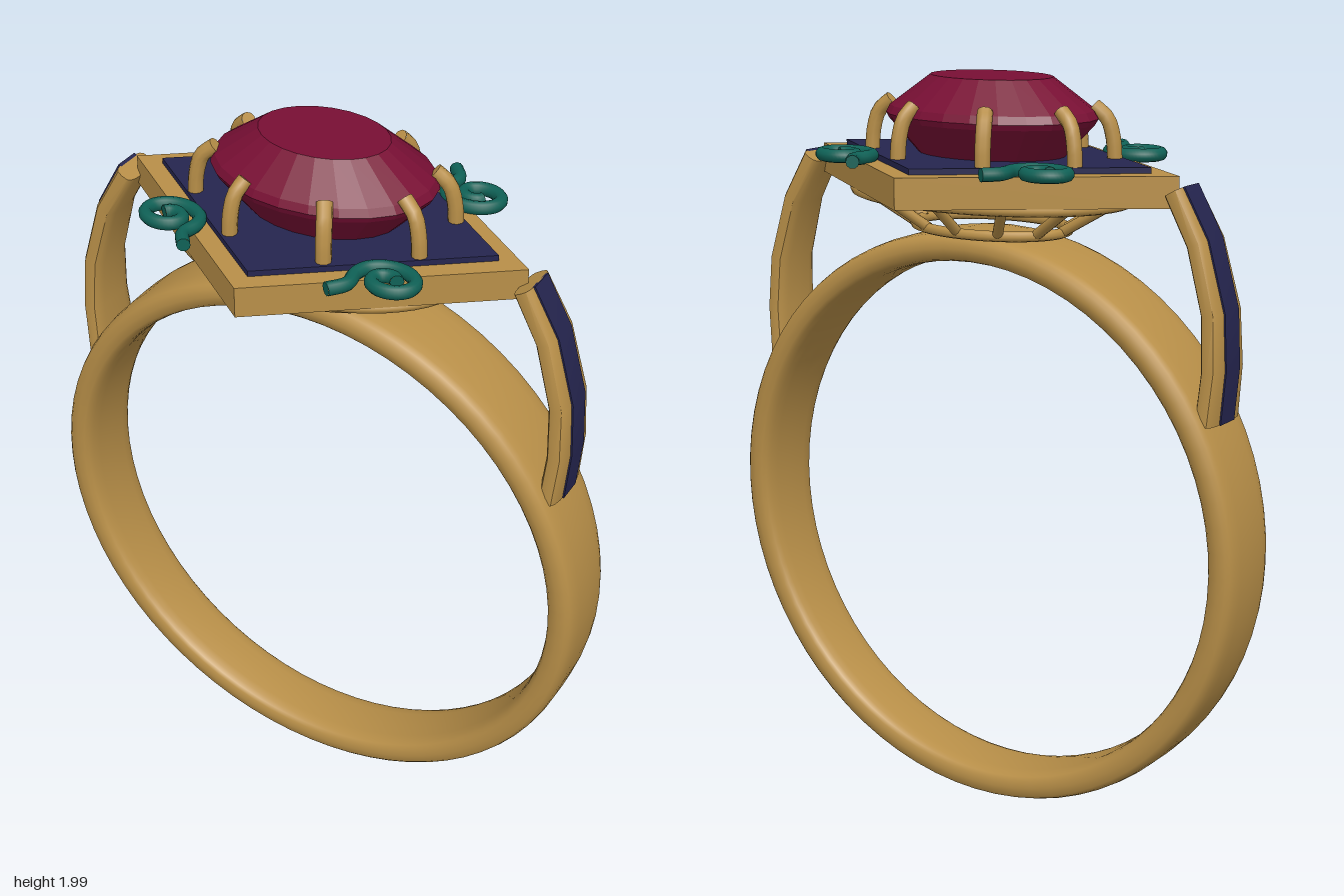
import * as THREE from 'three';
import { mergeGeometries, toCreasedNormals } from 'three/addons/utils/BufferGeometryUtils.js';

const material = (name, color) => {
  const m = new THREE.MeshStandardMaterial({ color });
  m.name = name;
  return m;
};
const V = (x, y, z) => new THREE.Vector3(x, y, z);

// Skin over a row of cross-section loops, either closed into a ring or capped at both ends
function loft(rings, closed, crease) {
  const n = rings[0].length, rows = rings.length, index = [];
  for (let i = 0; i < (closed ? rows : rows - 1); i++) {
    const k = (i + 1) % rows;
    for (let j = 0; j < n; j++) {
      const l = (j + 1) % n;
      index.push(i * n + j, k * n + j, i * n + l, k * n + j, k * n + l, i * n + l);
    }
  }
  if (!closed) {
    const e = (rows - 1) * n;
    for (let j = 1; j < n - 1; j++) index.push(0, j, j + 1, e, e + j + 1, e + j);
  }
  const g = new THREE.BufferGeometry().setFromPoints(rings.flat());
  g.setIndex(index);
  return toCreasedNormals(g, crease);
}

// Rounded-rectangle section as [radial, sideways] offsets
function roundedSection(a, b, power, n) {
  return Array.from({ length: n }, (_, j) => {
    const t = (j / n) * Math.PI * 2, c = Math.cos(t), s = Math.sin(t);
    return [a * Math.sign(c) * Math.abs(c) ** power, b * Math.sign(s) * Math.abs(s) ** power];
  });
}

// Round wire along points, with flat end caps
function wire(points, radius, segments) {
  const curve = new THREE.CatmullRomCurve3(points);
  const parts = [new THREE.TubeGeometry(curve, segments, radius, 10)];
  for (const t of [0, 1]) {
    const dir = curve.getTangent(t).multiplyScalar(t ? 1 : -1);
    const cap = new THREE.CircleGeometry(radius, 10);
    cap.applyQuaternion(new THREE.Quaternion().setFromUnitVectors(V(0, 0, 1), dir));
    const p = curve.getPoint(t);
    parts.push(cap.translate(p.x, p.y, p.z));
  }
  return mergeGeometries(parts);
}

// Flat diamond-shaped slab
function diamond(halfX, halfZ, y0, y1) {
  const s = new THREE.Shape();
  s.moveTo(halfX, 0);
  s.lineTo(0, halfZ);
  s.lineTo(-halfX, 0);
  s.lineTo(0, -halfZ);
  const g = new THREE.ExtrudeGeometry(s, { depth: y1 - y0, bevelEnabled: false });
  return g.rotateX(-Math.PI / 2).translate(0, y0, 0);
}

// Horizontal oval wire ring
function ovalRing(rx, rz, y, radius) {
  const points = Array.from({ length: 40 }, (_, i) => {
    const a = -(i / 40) * Math.PI * 2;
    return V(rx * Math.cos(a), y, rz * Math.sin(a));
  });
  return new THREE.TubeGeometry(new THREE.CatmullRomCurve3(points, true), 64, radius, 8, true);
}

export function createModel() {
  const model = new THREE.Group();
  model.name = 'gemRing';
  const gold = material('gold', 0xb88f48);
  const enamel = material('blue enamel', 0x25254f);
  const ruby = material('ruby', 0x780f34);
  const teal = material('teal', 0x0f6156);
  const add = (name, geometry, mat, parent = model) => {
    const mesh = new THREE.Mesh(geometry, mat);
    mesh.name = name;
    parent.add(mesh);
    return mesh;
  };

  // Finger band, widening towards the top
  const bandRings = Array.from({ length: 72 }, (_, i) => {
    const t = (i / 72) * Math.PI * 2, c = Math.cos(t), s = Math.sin(t);
    return roundedSection(0.041, 0.109 + 0.017 * s, 0.55, 20)
      .map(([r, z]) => V((0.756 + r) * c, 0.806 + (0.756 + r) * s, z));
  });
  add('band', loft(bandRings, true, 0.9), gold);

  // Shoulders with enamel inlay on the outer face
  const path = [[0.683, 1.185], [0.694, 1.32], [0.686, 1.46], [0.637, 1.63], [0.567, 1.752]];
  const alongShoulder = (section) => path.map(([x, y], i) => {
    const p = path[Math.max(i - 1, 0)], q = path[Math.min(i + 1, path.length - 1)];
    const length = Math.hypot(q[0] - p[0], q[1] - p[1]);
    const nx = (q[1] - p[1]) / length, ny = -(q[0] - p[0]) / length;
    return section(i / (path.length - 1)).map(([r, z]) => V(x + nx * r, y + ny * r, z));
  });
  const armGeometry = loft(alongShoulder((t) => roundedSection(0.028, 0.088 - 0.027 * t, 0.6, 16)), false, 0.7);
  const inlayGeometry = loft(alongShoulder(() =>
    [[0.031, -0.036], [0.031, 0.036], [0.022, 0.036], [0.022, -0.036]]), false, 0.5);
  for (const side of ['left', 'right']) {
    const shoulder = new THREE.Group();
    shoulder.name = side + 'Shoulder';
    if (side === 'right') shoulder.rotation.y = Math.PI;
    add('shoulderArm', armGeometry, gold, shoulder);
    add('shoulderInlay', inlayGeometry, enamel, shoulder);
    model.add(shoulder);
  }

  // Diamond-shaped head plate
  add('headPlate', diamond(0.56, 0.42, 1.705, 1.785), gold);
  add('enamelPlate', diamond(0.48, 0.36, 1.785, 1.8), enamel);

  // Openwork basket under the plate
  const basket = new THREE.Group();
  basket.name = 'basket';
  model.add(basket);
  add('upperBasketRing', ovalRing(0.395, 0.275, 1.698, 0.015), gold, basket);
  add('lowerBasketRing', ovalRing(0.22, 0.155, 1.61, 0.014), gold, basket);
  for (let i = 0; i < 12; i++) {
    const a = (i / 12) * Math.PI * 2, c = Math.cos(a), s = Math.sin(a);
    add('basketSpoke', wire([V(0.215 * c, 1.61, 0.15 * s), V(0.38 * c, 1.705, 0.265 * s)], 0.014, 1), gold, basket);
  }

  // Faceted oval gem
  const profile = [[0, 1.795], [0.68, 1.795], [0.97, 1.885], [1, 1.9], [0.96, 1.92], [0.575, 2], [0, 2]];
  const gem = new THREE.LatheGeometry(profile.map(([r, y]) => new THREE.Vector2(r, y)), 24)
    .scale(0.3, 1, 0.218).toNonIndexed();
  gem.computeVertexNormals();
  add('gem', gem, ruby);

  // Eight claws curling over the gem
  for (let i = 0; i < 8; i++) {
    const a = ((i + 0.5) / 8) * Math.PI * 2, c = Math.cos(a), s = Math.sin(a);
    const claw = [[0.343, 0.25, 1.79], [0.338, 0.245, 1.85], [0.322, 0.23, 1.9], [0.285, 0.202, 1.931]];
    add('claw', wire(claw.map(([rx, rz, y]) => V(rx * c, y, rz * s)), 0.02, 8), gold);
  }

  // Scrolls on the four sides of the plate
  const scroll = [[0.197, 0.333], [0.228, 0.288]];
  for (let i = 0; i <= 16; i++) {
    const a = Math.PI * (0.97 + i / 5.6), r = 1 - i / 21;
    scroll.push([0.308 + 0.086 * r * Math.cos(a), 0.232 + 0.068 * r * Math.sin(a)]);
  }
  for (const sx of [1, -1]) for (const sz of [1, -1]) {
    add('scroll', wire(scroll.map(([x, z]) => V(sx * x, 1.798, sz * z)), 0.0175, 72), teal);
  }
  return model;
}
